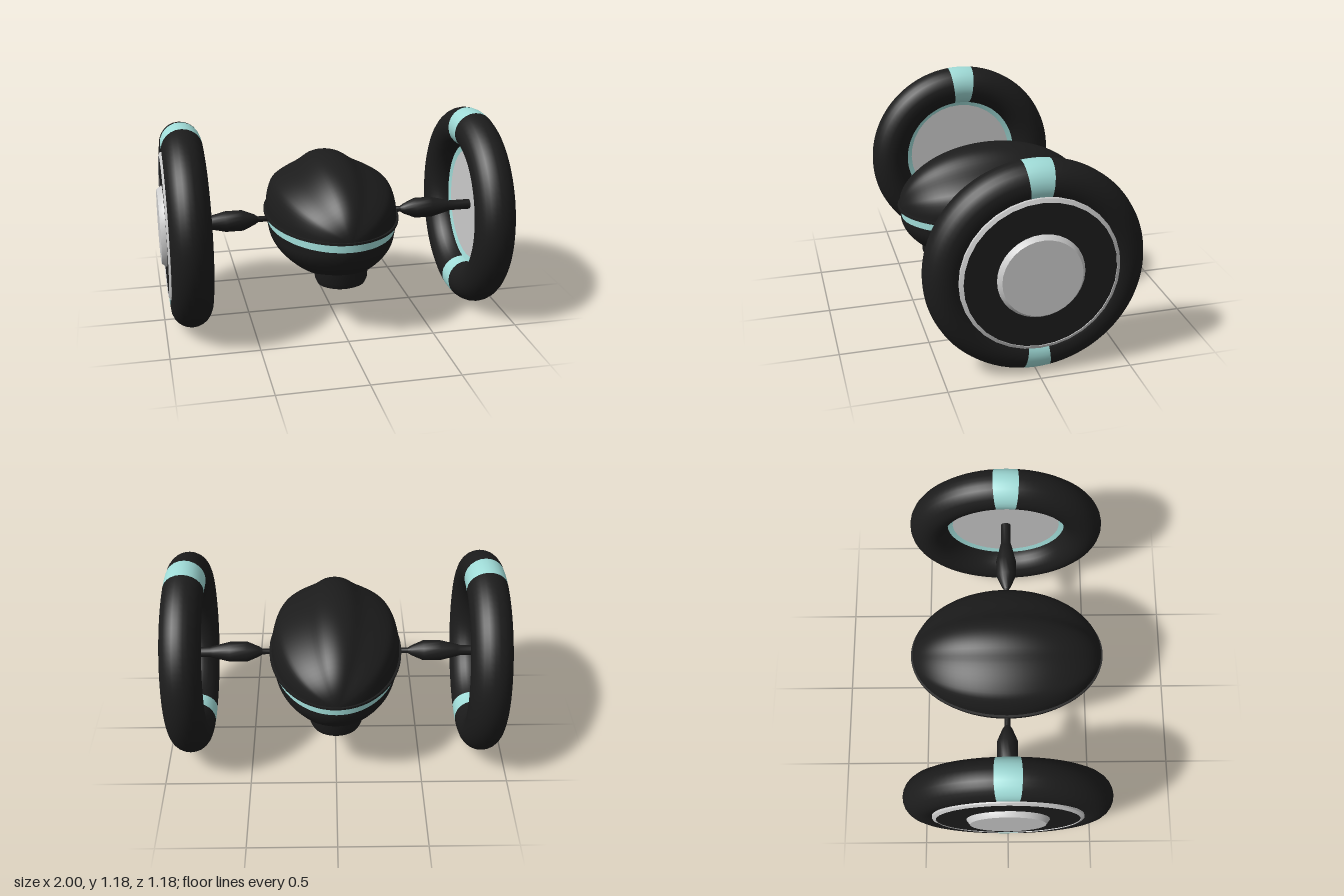
import * as THREE from 'three';
import { toCreasedNormals } from 'three/addons/utils/BufferGeometryUtils.js';

const AXLE_Y = 0.59;
const black = new THREE.MeshStandardMaterial({ color: 0x1c1c1c, side: THREE.DoubleSide });
const teal = new THREE.MeshStandardMaterial({ color: 0xa0dcd8, side: THREE.DoubleSide });
const grey = new THREE.MeshStandardMaterial({ color: 0xcccccc });

function add(parent, name, geometry, material) {
  const mesh = new THREE.Mesh(geometry, material);
  mesh.name = name;
  parent.add(mesh);
  return mesh;
}

const lathe = (points, segments = 32) =>
  toCreasedNormals(new THREE.LatheGeometry(points.map(([r, h]) => new THREE.Vector2(r, h)), segments), 0.6);

// Turned part whose axis runs along +x; points are [radius, x]
const turned = (points, segments) => lathe(points, segments).rotateZ(-Math.PI / 2);

// Piece of the tyre between two angles in degrees, 90 being the top
function tyreArc(from, to, segments) {
  const rad = Math.PI / 180;
  return new THREE.TorusGeometry(0.475, 0.115, 24, segments, (to - from) * rad)
    .rotateZ(from * rad).rotateY(Math.PI / 2).translate(0.85, 0, 0);
}

// Shell whose cross-section [x, y] shrinks to a point at both ends of z
function shell(half, baseY, length) {
  const right = half.map(([x, y]) => new THREE.Vector3(x, y - baseY, 0));
  const left = right.slice(0, -1).reverse().map((p) => new THREE.Vector3(-p.x, p.y, 0));
  const profile = new THREE.CatmullRomCurve3([...right, ...left]).getPoints(48);
  const rings = 40, n = profile.length, pos = [], index = [];
  const up = half[half.length - 1][1] > baseY;
  for (let i = 0; i <= rings; i++) {
    const a = (i / rings) * Math.PI, s = Math.max(Math.sin(a), 0.001);
    for (const p of profile) pos.push(p.x * s, baseY + p.y * s, -length * Math.cos(a));
  }
  for (let i = 0; i < rings; i++) {
    for (let j = 0; j < n - 1; j++) {
      const a = i * n + j, b = a + 1, c = a + n, d = c + 1;
      if (up) index.push(a, b, c, b, d, c);
      else index.push(a, c, b, b, c, d);
    }
  }
  const g = new THREE.BufferGeometry();
  g.setAttribute('position', new THREE.Float32BufferAttribute(pos, 3));
  // Wind the faces so that they look outwards
  g.setIndex(up ? index.map((_, k) => index[k - (k % 3) + [0, 1, 2][k % 3]]) : index);
  g.computeVertexNormals();
  return g;
}

// Flat elliptical slab
function slab(rx, rz, y0, y1) {
  return new THREE.CylinderGeometry(1, 1, y1 - y0, 64)
    .scale(rx, 1, rz).translate(0, (y0 + y1) / 2, 0);
}

function createWheel() {
  const wheel = new THREE.Group();
  const half = 7.3;
  for (const top of [90, 270]) {
    add(wheel, 'tyreStripe', tyreArc(top - half, top + half, 4), teal);
    add(wheel, 'tyre', tyreArc(top + half, top + 180 - half, 40), black);
  }
  // Outer face: trim ring, dark plate and raised hub cap
  add(wheel, 'trimRing', turned([[0.43, 0.92], [0.425, 0.965], [0.405, 0.975], [0.405, 0.96]]), grey);
  add(wheel, 'wheelPlate', turned([[0.41, 0.9], [0.41, 0.97], [0, 0.97]]), black);
  add(wheel, 'hubCap', turned([[0.235, 0.96], [0.232, 0.975], [0.213, 1], [0, 1]]), grey);
  // Inner face: recessed disc inside a coloured rim
  add(wheel, 'innerDisc', turned([[0, 0.865], [0.335, 0.865], [0.335, 0.9]]), grey);
  add(wheel, 'innerRim', turned([[0.33, 0.865], [0.39, 0.85]]), teal);
  // Arm joining the wheel to the body
  add(wheel, 'arm', turned([[0.017, 0.3], [0.017, 0.43], [0.03, 0.45], [0.06, 0.52],
    [0.06, 0.62], [0.036, 0.72], [0.03, 0.74], [0.03, 0.87]], 16), black);
  wheel.position.y = AXLE_Y;
  return wheel;
}

function createBody() {
  const body = new THREE.Group();
  body.name = 'body';
  add(body, 'upperShell', shell([[0.375, 0.615], [0.368, 0.7], [0.335, 0.79], [0.27, 0.84],
    [0.16, 0.895], [0.08, 0.945], [0, 0.96]], 0.615, 0.555), black);
  add(body, 'upperFlange', slab(0.388, 0.565, 0.607, 0.62), black);
  add(body, 'waistBand', slab(0.366, 0.545, 0.555, 0.61), teal);
  add(body, 'lowerShell', shell([[0.37, 0.56], [0.35, 0.47], [0.3, 0.395], [0.2, 0.315],
    [0.1, 0.28], [0, 0.27]], 0.56, 0.55), black);
  // Rounded pads under the front and back
  for (const z of [0.3, -0.3]) {
    const pad = add(body, 'bottomPad', lathe([[0, 0.27], [0.1, 0.273], [0.135, 0.288],
      [0.15, 0.32], [0.155, 0.43]]), black);
    pad.scale.z = 0.85;
    pad.position.z = z;
  }
  return body;
}

export function createModel() {
  const model = new THREE.Group();
  model.add(createBody());
  const left = createWheel();
  left.name = 'leftWheel';
  const right = createWheel();
  right.name = 'rightWheel';
  right.rotation.y = Math.PI;
  model.add(left, right);
  return model;
}
